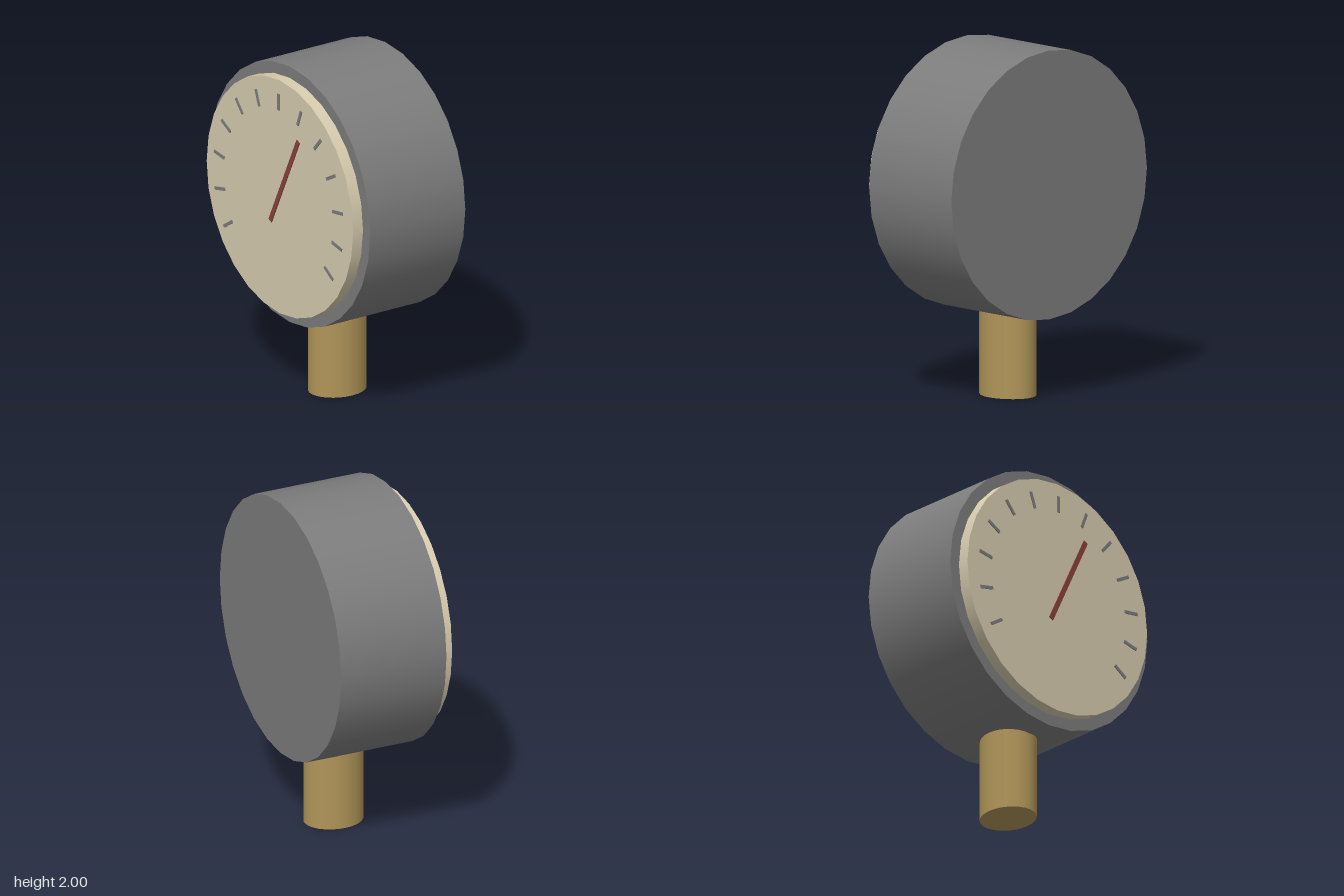
import * as THREE from 'three';

const mat = (name, color) => {
  const m = new THREE.MeshStandardMaterial({ color });
  m.name = name;
  return m;
};

const CENTRE_Y = 1.235; // height of the dial centre
const TICKS_PER_SIDE = 6;
const TICK_STEP = THREE.MathUtils.degToRad(20.45);

export function createModel() {
  const gauge = new THREE.Group();
  gauge.name = 'pressureGauge';

  const grey = mat('casing grey', 0x7c7c7c);
  const cream = mat('dial cream', 0xd6cbae);
  const brass = mat('brass', 0xb09558);
  const red = mat('needle red', 0x88403a);

  const add = (name, geometry, material, parent = gauge) => {
    const mesh = new THREE.Mesh(geometry, material);
    mesh.name = name;
    parent.add(mesh);
    return mesh;
  };

  // Drum whose axis runs front to back
  const drum = (name, radius, back, front, material) => {
    const geometry = new THREE.CylinderGeometry(radius, radius, front - back, 28);
    geometry.rotateX(Math.PI / 2);
    add(name, geometry, material).position.set(0, CENTRE_Y, (front + back) / 2);
  };
  drum('casing', 0.767, -0.375, 0.284, grey);
  drum('dial', 0.699, 0.2, 0.353, cream);

  // Slightly oval connecting stem, running up into the casing
  const stem = add('stem', new THREE.CylinderGeometry(0.147, 0.147, 0.56, 28), brass);
  stem.scale.z = 0.174 / 0.147;
  stem.position.set(0, 0.28, -0.044);

  // Radial scale marks
  const scaleMarks = new THREE.Group();
  scaleMarks.name = 'scaleMarks';
  scaleMarks.position.set(0, CENTRE_Y, 0.363);
  gauge.add(scaleMarks);
  const tickGeometry = new THREE.BoxGeometry(0.019, 0.098, 0.005);
  for (let i = -TICKS_PER_SIDE; i <= TICKS_PER_SIDE; i++) {
    const angle = i * TICK_STEP;
    const tick = add('scaleMark', tickGeometry, grey, scaleMarks);
    tick.position.set(Math.sin(angle) * 0.571, Math.cos(angle) * 0.571, 0);
    tick.rotation.z = -angle;
  }

  // Needle with a short tail beyond the pivot
  const needle = add('needle', new THREE.BoxGeometry(0.031, 0.617, 0.005), red);
  needle.position.set(0.068, 1.355, 0.372);
  needle.rotation.z = -THREE.MathUtils.degToRad(25.7);

  return gauge;
}
